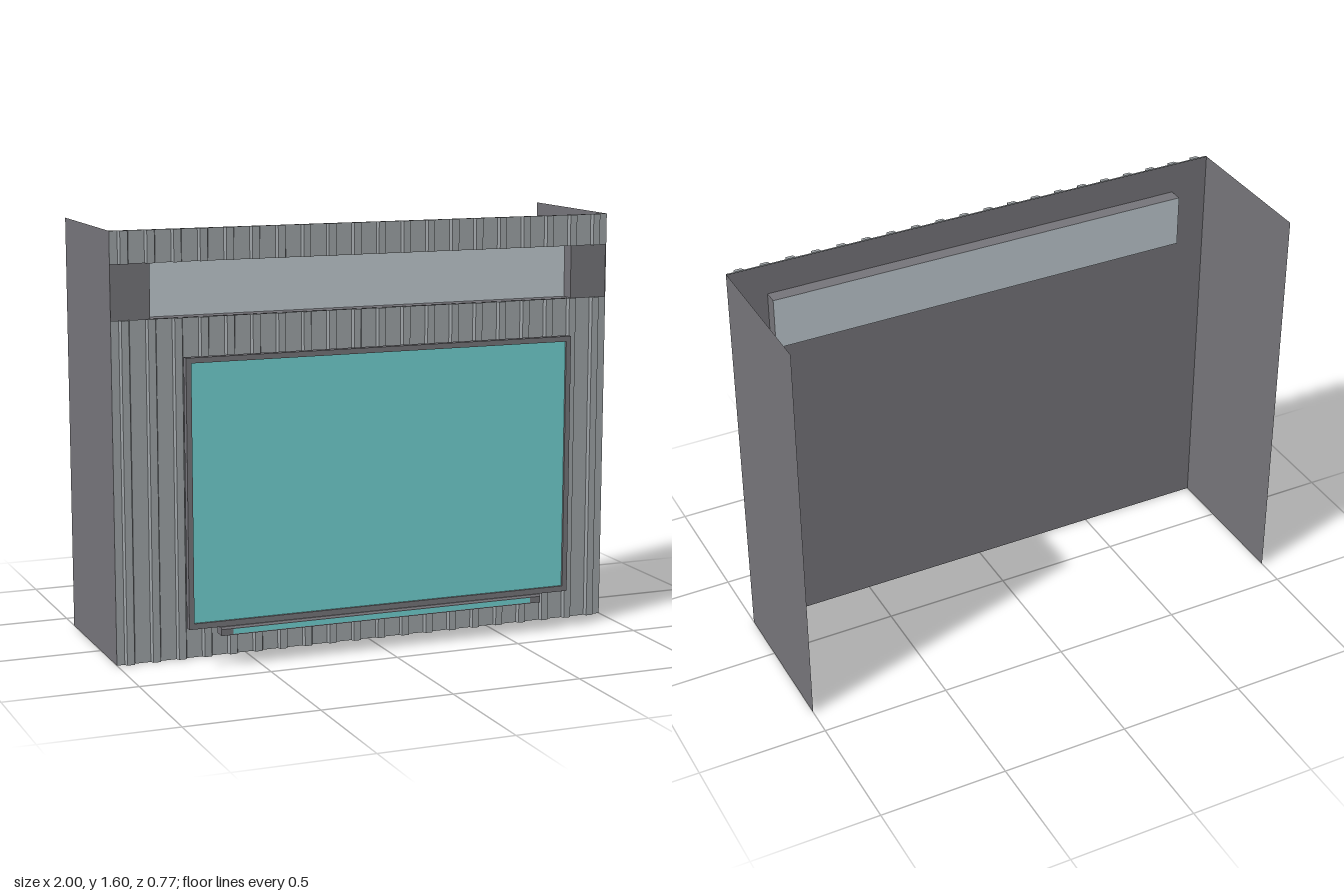
import * as THREE from 'three';

const DS = THREE.DoubleSide;

function rectPath(path, x0, y0, x1, y1) {
  path.moveTo(x0, y0);
  path.lineTo(x1, y0);
  path.lineTo(x1, y1);
  path.lineTo(x0, y1);
  path.closePath();
  return path;
}

// rectangular shape with a rectangular opening
function framed(outer, inner) {
  const s = rectPath(new THREE.Shape(), ...outer);
  s.holes.push(rectPath(new THREE.Path(), ...inner));
  return s;
}

export function createModel() {
  const model = new THREE.Group();
  model.name = 'screenWall';

  const mat = (name, color, side) => {
    const m = new THREE.MeshStandardMaterial({ color });
    m.name = name;
    if (side) m.side = side;
    return m;
  };
  const dark = mat('darkGrey', 0x757479, DS);
  const cladding = mat('claddingGrey', 0x9da2a5, DS);
  const glass = mat('paleGlass', 0xbfc9cf, DS);
  const teal = mat('teal', 0x70d0d0, DS);

  const add = (name, geometry, material, x = 0, y = 0, z = 0, parent = model) => {
    const mesh = new THREE.Mesh(geometry, material);
    mesh.name = name;
    mesh.position.set(x, y, z);
    parent.add(mesh);
    return mesh;
  };

  const FRONT = 0.216, WALL = 0.21, BACK = -0.385, H = 1.6;
  const WX = 0.85, WY0 = 1.277, WY1 = 1.48;

  // thin room walls: front wall with window opening, plus two sides
  add('frontWall', new THREE.ShapeGeometry(
    framed([-1, 0, 1, H], [-WX, WY0, WX, WY1])), dark, 0, 0, WALL);
  for (const s of [-1, 1]) {
    const side = add(s > 0 ? 'leftWall' : 'rightWall',
      new THREE.PlaneGeometry(FRONT - BACK, H), dark, s, H / 2, (FRONT + BACK) / 2);
    side.rotation.y = s * Math.PI / 2;
  }

  // window: a shallow sleeve behind the wall, closed by a pane
  const glassZ = 0.156, depth = WALL - glassZ, midY = (WY0 + WY1) / 2;
  const sleeve = new THREE.Group();
  sleeve.name = 'windowSleeve';
  model.add(sleeve);
  for (const y of [WY0, WY1]) {
    add('sleeveLedge', new THREE.PlaneGeometry(2 * WX, depth), dark,
      0, y, glassZ + depth / 2, sleeve).rotation.x = -Math.PI / 2;
  }
  for (const x of [-WX, WX]) {
    add('sleeveJamb', new THREE.PlaneGeometry(depth, WY1 - WY0), dark,
      x, midY, glassZ + depth / 2, sleeve).rotation.y = Math.PI / 2;
  }
  add('windowPane', new THREE.PlaneGeometry(2 * WX, WY1 - WY0), glass, 0, midY, glassZ);

  // cladding: a sheet and a row of bevelled slats below and above the window
  const slat = new THREE.Shape([[-0.02, 0], [0.02, 0], [0.014, 0.014], [-0.014, 0.014]]
    .map(([x, y]) => new THREE.Vector2(x, -y)));
  for (const [name, y0, y1] of [['lowerCladding', 0, WY0], ['upperCladding', WY1, H]]) {
    const band = new THREE.Group();
    band.name = name;
    model.add(band);
    add('sheet', new THREE.PlaneGeometry(2, y1 - y0), cladding, 0, (y0 + y1) / 2, FRONT, band);
    const geo = new THREE.ExtrudeGeometry(slat, { depth: y1 - y0, bevelEnabled: false });
    geo.rotateX(-Math.PI / 2);
    for (let i = 0; i < 20; i++) add('slat', geo, cladding, -0.95 + i * 0.1, y0, FRONT, band);
  }

  // screen with its raised frame
  const screen = new THREE.Group();
  screen.name = 'screen';
  model.add(screen);
  add('screenFrame', new THREE.ExtrudeGeometry(
    framed([-0.77, 0.152, 0.77, 1.152], [-0.75, 0.173, 0.75, 1.132]),
    { depth: 0.028, bevelEnabled: false }), dark, 0, 0, 0.347, screen);
  add('screenBack', new THREE.BoxGeometry(1.5, 0.959, 0.012), dark, 0, 0.6525, 0.356, screen);
  add('screenFace', new THREE.PlaneGeometry(1.5, 0.959), teal, 0, 0.6525, 0.366, screen);

  // four rods holding the screen off the wall
  const rod = new THREE.CylinderGeometry(0.01, 0.01, 0.35 - FRONT, 8);
  rod.rotateX(Math.PI / 2);
  for (const x of [-0.65, 0.65]) {
    for (const y of [0.276, 1.028]) add('mountingRod', rod, dark, x, y, (0.35 + FRONT) / 2, screen);
  }

  // light bar under the screen, with chamfered top edges
  const bar = new THREE.Shape([
    [0.337, 0.12], [0.386, 0.12], [0.386, 0.144], [0.38, 0.152], [0.343, 0.152], [0.337, 0.144],
  ].map(([z, y]) => new THREE.Vector2(-z, y)));
  const barGeo = new THREE.ExtrudeGeometry(bar, { depth: 1.3, bevelEnabled: false });
  barGeo.rotateY(Math.PI / 2);
  add('lightBar', barGeo, dark, -0.65, 0, 0);
  add('lightStrip', new THREE.PlaneGeometry(1.21, 0.019), teal, 0, 0.1335, 0.3875);

  return model;
}
